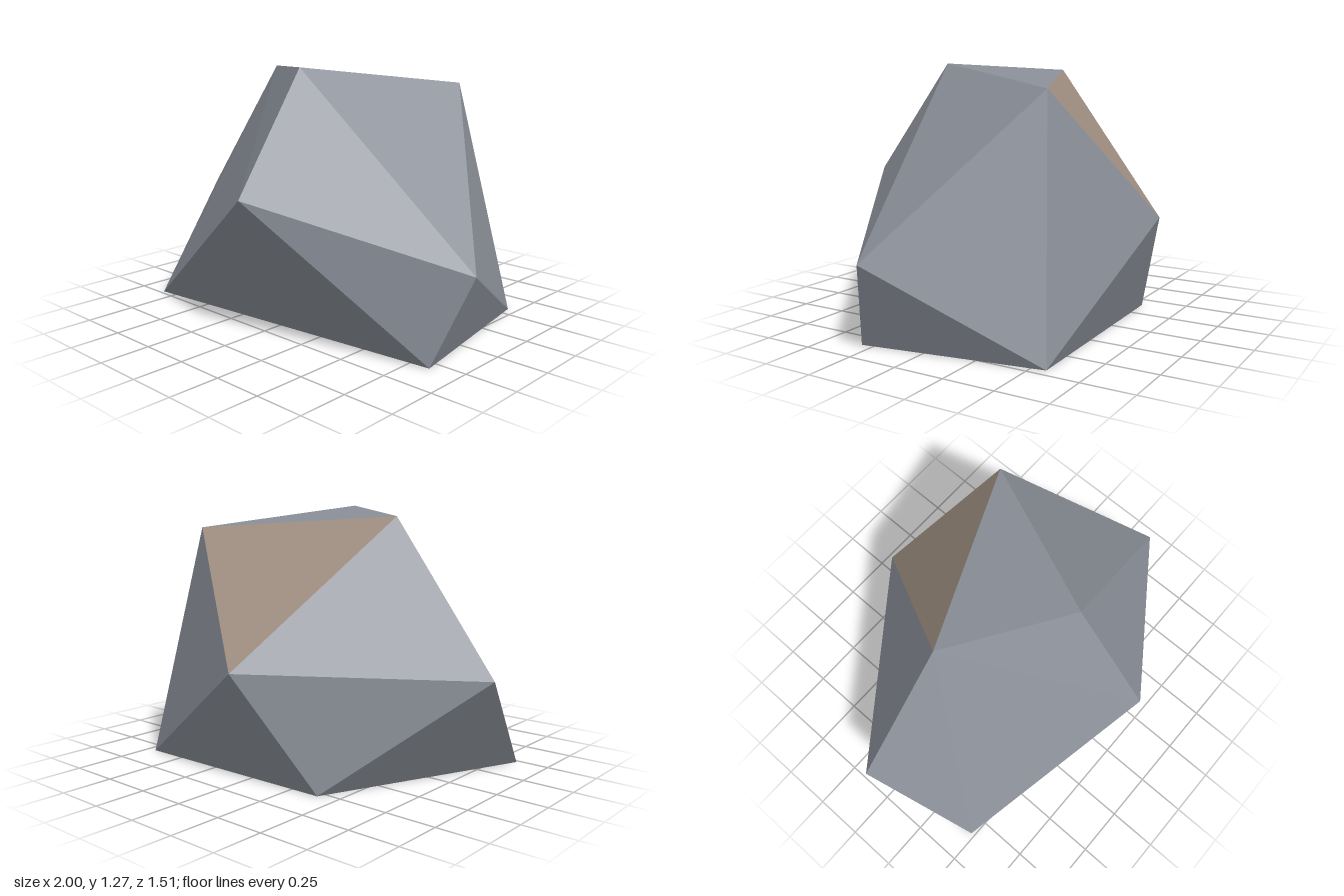
import * as THREE from 'three';

// Corners of the faceted boulder
const corners = {
  L: [-1.0, 0.525, -0.05], R: [1.0, 0.42, 0.195],     // left and right tips
  F: [0.125, 0.71, 0.755], K: [-0.07, 0.547, -0.755], // front and back tips
  A: [-0.45, 1.23, -0.03], B: [0.1, 1.267, 0.345], C: [0.45, 1.167, -0.43], // crown
  G: [-0.84, 0, 0.48], H: [0.85, 0, 0.31], I: [0.7, 0, -0.57], J: [-0.4, 0, -0.54], // base
};
const stoneFaces = ['LAG', 'AGF', 'ABF', 'GFH', 'FHR', 'BFR', 'BCR', 'CRI', 'HRI',
  'ABC', 'CKI', 'KIJ', 'AKL', 'KLJ', 'LGJ', 'GHI', 'GIJ'];
const brownFaces = ['AKC'];

// Flat facets, each wound to face away from the middle of the rock
function facets(name, faces, material) {
  const middle = new THREE.Vector3(0, 0.6, 0);
  const points = [];
  for (const face of faces) {
    const [a, b, c] = [...face].map((key) => new THREE.Vector3(...corners[key]));
    const normal = b.clone().sub(a).cross(c.clone().sub(a));
    const outward = normal.dot(a.clone().sub(middle)) > 0;
    points.push(...(outward ? [a, b, c] : [a, c, b]));
  }
  const geometry = new THREE.BufferGeometry().setFromPoints(points);
  geometry.computeVertexNormals();
  const mesh = new THREE.Mesh(geometry, material);
  mesh.name = name;
  return mesh;
}

export function createModel() {
  const stone = new THREE.MeshStandardMaterial({ color: 0x8a8f98, flatShading: true });
  stone.name = 'grey stone';
  const brown = new THREE.MeshStandardMaterial({ color: 0x9e8e80, flatShading: true });
  brown.name = 'brown stone';

  const rock = new THREE.Group();
  rock.name = 'rock';
  rock.add(facets('stoneBody', stoneFaces, stone), facets('brownFacet', brownFaces, brown));
  return rock;
}
